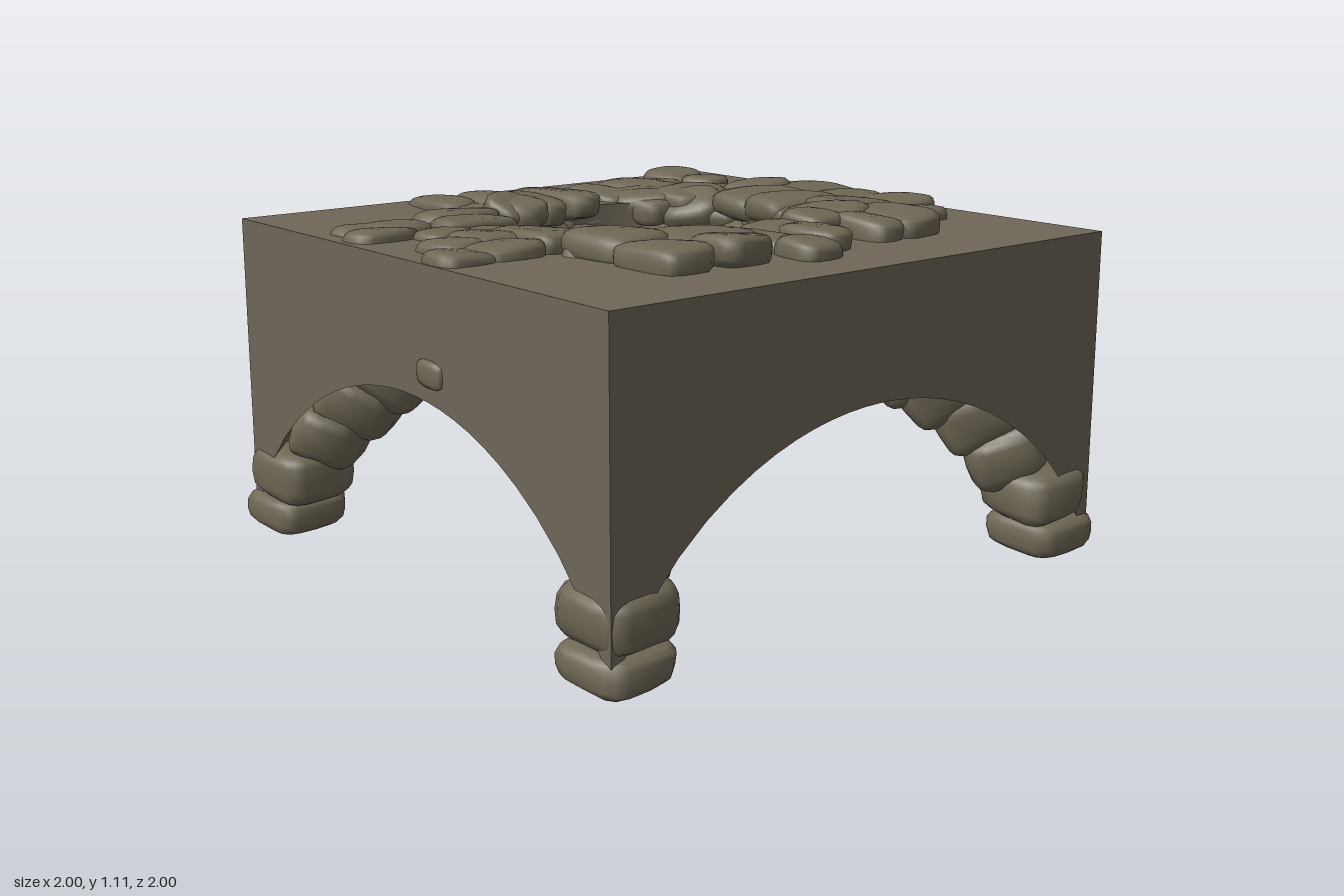
import * as THREE from 'three';
import { toCreasedNormals, mergeVertices } from 'three/addons/utils/BufferGeometryUtils.js';

const slabStone = new THREE.MeshStandardMaterial({ color: 0x6e6658 });
slabStone.name = 'slab stone';
const rockStone = new THREE.MeshStandardMaterial({ color: 0x6e6755 });
rockStone.name = 'rock stone';

const HALF = 0.955, TOP = 1.025, HOLE = 0.48, SEGS = 96;
// Spherical vault under the slab
const vaultY = (x, z) => Math.sqrt(Math.max(0, 2.057 - x * x - z * z)) - 0.43;

let seed = 11;
const rand = (a, b) => {
  seed = (seed * 16807) % 2147483647;
  return a + (b - a) * seed / 2147483647;
};

// Square block with a round opening: a profile swept around the square
function slabGeometry() {
  const rings = [];
  const steps = 14;
  for (let i = 0; i <= SEGS; i++) {
    const a = i / SEGS * Math.PI * 2, c = Math.cos(a), s = Math.sin(a);
    const edge = HALF / Math.max(Math.abs(c), Math.abs(s));
    const hx = HOLE * c - 0.02, hz = HOLE * s + 0.04;
    const ring = [[hx, TOP, hz], [edge * c, TOP, edge * s]];
    for (let j = 0; j <= steps; j++) {
      const t = j / steps;
      const x = THREE.MathUtils.lerp(edge * c, hx, t), z = THREE.MathUtils.lerp(edge * s, hz, t);
      ring.push([x, vaultY(x, z), z]);
    }
    ring.push(ring[0]);
    rings.push(ring);
  }
  const pos = [];
  for (let i = 0; i < SEGS; i++) {
    for (let j = 0; j < rings[0].length - 1; j++) {
      const a = rings[i][j], b = rings[i][j + 1], c = rings[i + 1][j + 1], d = rings[i + 1][j];
      pos.push(...a, ...c, ...b, ...a, ...d, ...c);
    }
  }
  const g = new THREE.BufferGeometry();
  g.setAttribute('position', new THREE.Float32BufferAttribute(pos, 3));
  return toCreasedNormals(g, 0.5);
}

// Pillow-shaped rock: a sphere pushed toward a box, with a slight wobble
function rockGeometry(sx, sy, sz) {
  let g = new THREE.SphereGeometry(1, 18, 12);
  g.deleteAttribute('uv');
  g.deleteAttribute('normal');
  g = mergeVertices(g, 1e-4);
  const p = g.attributes.position, k = rand(0, 6);
  const push = v => Math.sign(v) * Math.pow(Math.abs(v), 0.6);
  for (let i = 0; i < p.count; i++) {
    const x = p.getX(i), y = p.getY(i), z = p.getZ(i);
    const w = 0.92 + 0.08 * Math.sin(3 * x + k) * Math.cos(3 * z + 2 * y + k);
    p.setXYZ(i, push(x) * w * sx, push(y) * w * sy, push(z) * w * sz);
  }
  g.computeVertexNormals();
  return g;
}

function addRock(parent, name, [x, y, z], [sx, sy, sz], [rx, ry, rz] = [0, 0, 0]) {
  const m = new THREE.Mesh(rockGeometry(sx, sy, sz), rockStone);
  m.name = name;
  m.position.set(x, y, z);
  m.rotation.set(rx, ry, rz, 'YXZ');
  parent.add(m);
}

function group(parent, name) {
  const g = new THREE.Group();
  g.name = name;
  parent.add(g);
  return g;
}

export function createModel() {
  const model = new THREE.Group();
  model.name = 'rockVault';

  const slab = new THREE.Mesh(slabGeometry(), slabStone);
  slab.name = 'vaultedSlab';
  model.add(slab);

  // Flat rocks lying around the opening: height, then x, z, half width, half depth
  const clusters = {
    backRocks: [1.03, [-.15, -.79, .14, .16], [.08, -.73, .11, .12], [.24, -.8, .1, .12], [.07, -.5, .1, .16],
      [-.11, -.52, .12, .16], [.25, -.58, .11, .14], [.42, -.69, .08, .11], [-.29, -.67, .1, .1]],
    backLeftRocks: [1.045, [.55, -.46, .14, .1], [.37, -.36, .14, .1], [.57, -.33, .11, .07], [.45, -.22, .08, .08]],
    leftRocks: [1.03, [.59, -.09, .12, .07], [.43, -.07, .09, .09], [.7, .04, .09, .08], [.5, .04, .15, .07]],
    frontLeftRocks: [1.05, [.44, .22, .12, .16], [.64, .28, .1, .1], [.34, .45, .14, .12], [.58, .47, .14, .1]],
    frontRocks: [1.02, [.07, .53, .17, .09], [.14, .7, .1, .12], [-.02, .63, .11, .12], [0, .78, .1, .08], [.15, .85, .09, .1]],
    frontRightRocks: [1.01, [-.45, .46, .08, .14], [-.31, .5, .08, .14], [-.22, .66, .08, .09], [-.4, .72, .1, .1],
      [-.32, .82, .07, .11], [-.44, .82, .07, .08]],
    rightRocks: [1.015, [-.6, -.03, .22, .075], [-.56, .09, .15, .06], [-.59, .2, .2, .08], [-.74, .33, .16, .07], [-.61, .33, .1, .07]],
    backRightRocks: [1.015, [-.76, -.68, .1, .08], [-.62, -.71, .08, .07], [-.7, -.53, .12, .08], [-.48, -.55, .13, .12],
      [-.62, -.42, .19, .09], [-.47, -.32, .14, .11], [-.6, -.22, .13, .07], [-.36, -.42, .1, .12]],
  };
  for (const [name, [height, ...rocks]] of Object.entries(clusters)) {
    const g = group(model, name);
    for (const [x, z, w, d] of rocks) {
      addRock(g, 'flatRock', [x, height + rand(-.012, .012), z], [w * 1.1, .055, d * 1.1],
        [rand(-.1, .1), rand(-.08, .08), rand(-.08, .08)]);
    }
  }

  // Rough lining of the opening and rocks clinging to the vault: radius, height, count, size, tilt
  const collar = group(model, 'openingCollar');
  const rows = [[.53, .98, 20, .1, -.3], [.49, .91, 20, .1, -.5], [.47, .83, 18, .1, -.5], [.48, .75, 18, .095, 0],
    [.56, .76, 18, .11, .3], [.66, .77, 20, .1, .4]];
  rows.forEach(([r, y, n, s, tilt], row) => {
    for (let i = 0; i < n; i++) {
      const a = (i + row * 0.5 + rand(-.25, .25)) / n * Math.PI * 2;
      const rr = r + rand(-.03, .03);
      addRock(collar, 'collarRock', [rr * Math.cos(a) - 0.02, y + rand(-.035, .035), rr * Math.sin(a) + 0.04],
        [s * rand(.8, 1.1), s * rand(.55, .75), s * rand(.85, 1.2)], [rand(-.2, .2), -a, -tilt + rand(-.25, .25)]);
    }
  });
  addRock(collar, 'jutRock', [.23, .82, -.2], [.14, .1, .09], [.3, -.7, 0]);

  // Four stacked-stone ribs running from the corner feet up to the collar
  const path = [[.77, .325], [.7, .435], [.62, .525], [.54, .59], [.46, .65], [.39, .72]];
  for (const sx of [-1, 1]) for (const sz of [-1, 1]) {
    const rib = group(model, (sz > 0 ? 'front' : 'back') + (sx > 0 ? 'Left' : 'Right') + 'Rib');
    const yaw = Math.atan2(sx, sz);
    addRock(rib, 'foot', [sx * .855, .068, sz * .855], [.15, .068, .15], [0, rand(-.08, .08), 0]);
    addRock(rib, 'ankleStone', [sx * .835, .195, sz * .835], [.155, .1, .155], [0, rand(-.08, .08), 0]);
    path.forEach(([d, y], i) => {
      const lean = -0.35 - i * 0.15;
      addRock(rib, 'ribStone', [sx * d, y, sz * d], [.15 + rand(-.015, .01), .105, .135 + rand(-.01, .01)], [lean, yaw, rand(-.08, .08)]);
    });
    if (sz > 0) addRock(rib, 'lowRibStone', [sx * .41, .575, .4], [.11, .09, .11], [-.9, yaw, 0]);
  }

  // Small stone poking out of the front face
  addRock(model, 'frontKnob', [.14, .715, .94], [.07, .045, .035]);
  return model;
}
